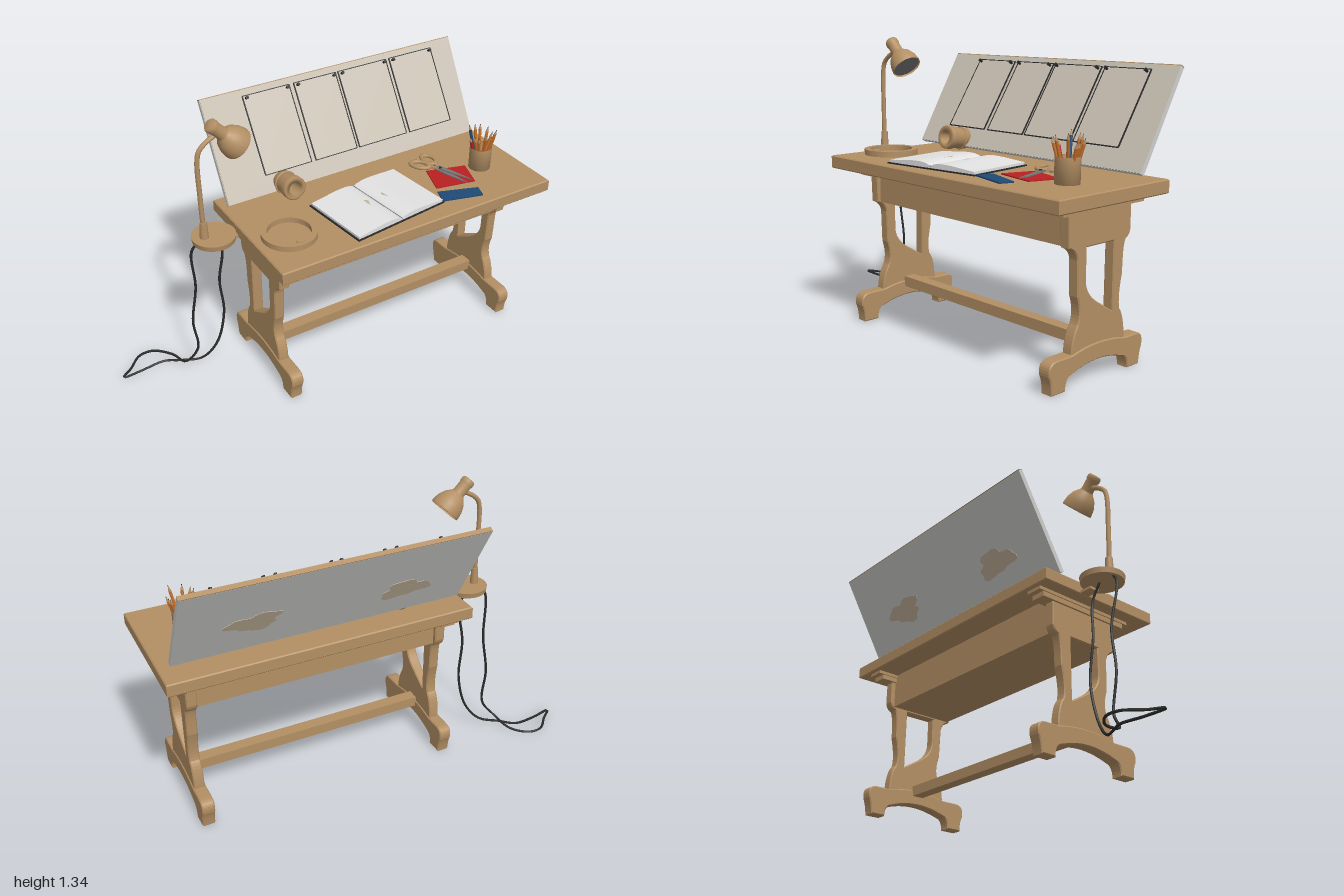
import * as THREE from 'three';

const mat = (name, color, side = THREE.FrontSide) => {
  const m = new THREE.MeshStandardMaterial({ color, side });
  m.name = name;
  return m;
};

export function createModel() {
  const root = new THREE.Group();
  root.name = 'draftingDesk';
  const wood = mat('wood', 0xb38f64, THREE.DoubleSide);
  const cream = mat('cream', 0xc9c0b3);
  const pale = mat('paleGrey', 0xcfcfcd);
  const page = mat('page', 0xe2e2e2);
  const dark = mat('dark', 0x2c2b2b);
  const grey = mat('grey', 0x777777);
  const red = mat('red', 0xb82022);
  const blue = mat('blue', 0x1f4a74);
  const orange = mat('orange', 0xc8702a);
  const stain = mat('stain', 0xc4b49c);

  const add = (name, geo, m, x = 0, y = 0, z = 0, parent = root) => {
    const mesh = new THREE.Mesh(geo, m);
    mesh.name = name;
    mesh.position.set(x, y, z);
    parent.add(mesh);
    return mesh;
  };
  const group = (name, x, y, z, parent = root) => {
    const g = new THREE.Group();
    g.name = name;
    g.position.set(x, y, z);
    parent.add(g);
    return g;
  };
  const box = (w, h, d) => new THREE.BoxGeometry(w, h, d);
  const cyl = (r1, r2, h, n = 24) => new THREE.CylinderGeometry(r1, r2, h, n);
  const v = (x, y, z) => new THREE.Vector3(x, y, z);
  const extrude = (shape, depth, bevel = 0) => new THREE.ExtrudeGeometry(shape, {
    depth: depth - 2 * bevel, bevelEnabled: bevel > 0, bevelSize: bevel, bevelOffset: -bevel,
    bevelThickness: bevel, bevelSegments: 1, curveSegments: 8,
  });
  const poly = pts => new THREE.Shape(pts.map(p => new THREE.Vector2(...p)));
  // Thin plate lying flat; points are (x, z)
  const flat = (pts, h) => extrude(poly(pts.map(([x, z]) => [x, -z])), h).rotateX(-Math.PI / 2);
  const blob = (rx, ry, seed, n = 32) => Array.from({ length: n }, (_, i) => {
    const a = i / n * Math.PI * 2;
    const k = 0.82 + 0.16 * Math.sin(3 * a + seed) + 0.08 * Math.sin(7 * a + seed * 2);
    return [rx * k * Math.cos(a), ry * k * Math.sin(a)];
  });

  // Table top, drawer box, stretcher
  const slab = poly([[-0.72, -0.33], [0.72, -0.33], [0.72, 0.33], [-0.72, 0.33]]);
  add('tableTop', extrude(slab, 0.06, 0.005).rotateX(-Math.PI / 2), wood, 0.28, 0.75, 0.07);
  add('apron', box(1.23, 0.17, 0.34), wood, 0.268, 0.66, 0.04);
  add('stretcher', box(1.18, 0.05, 0.06), wood, 0.268, 0.155, 0.04);

  // Trestle legs: profile runs along z, extruded along x
  const foot = new THREE.Shape();
  foot.moveTo(0.235, 0); foot.lineTo(0.315, 0);
  foot.quadraticCurveTo(0.315, 0.05, 0.33, 0.08);
  foot.quadraticCurveTo(0.34, 0.14, 0.28, 0.14);
  foot.lineTo(0.2, 0.14); foot.quadraticCurveTo(0.04, 0.18, -0.13, 0.14);
  foot.lineTo(-0.2, 0.14); foot.quadraticCurveTo(-0.255, 0.14, -0.243, 0.08);
  foot.quadraticCurveTo(-0.23, 0.05, -0.225, 0);
  foot.lineTo(-0.15, 0); foot.quadraticCurveTo(-0.15, 0.055, -0.11, 0.06);
  foot.quadraticCurveTo(0.04, 0.115, 0.2, 0.06);
  foot.quadraticCurveTo(0.235, 0.055, 0.235, 0);

  const upright = new THREE.Shape();
  upright.moveTo(0.2, 0.13);
  upright.quadraticCurveTo(0.2, 0.2, 0.165, 0.255);
  upright.quadraticCurveTo(0.145, 0.3, 0.17, 0.37);
  upright.lineTo(0.175, 0.52); upright.quadraticCurveTo(0.18, 0.56, 0.225, 0.575);
  upright.lineTo(0.23, 0.72); upright.lineTo(-0.15, 0.72);
  upright.lineTo(-0.15, 0.6); upright.quadraticCurveTo(-0.145, 0.57, -0.12, 0.56);
  upright.quadraticCurveTo(-0.105, 0.54, -0.105, 0.42);
  upright.quadraticCurveTo(-0.08, 0.32, -0.095, 0.27);
  upright.quadraticCurveTo(-0.125, 0.24, -0.13, 0.13);
  const hole = new THREE.Path();
  hole.moveTo(0.12, 0.565); hole.lineTo(0.12, 0.43);
  hole.quadraticCurveTo(0.115, 0.37, 0.05, 0.33);
  hole.quadraticCurveTo(0, 0.3, -0.045, 0.272);
  hole.lineTo(-0.045, 0.565); hole.lineTo(0.12, 0.565);
  upright.holes.push(hole);

  for (const x of [-0.34, 0.875]) {
    const leg = group('trestleLeg', x, 0, 0);
    for (const [name, shape, t] of [['foot', foot, 0.06], ['upright', upright, 0.05]]) {
      add(name, extrude(shape, t, 0.005).translate(0, 0, 0.005 - t / 2).rotateY(-Math.PI / 2), wood, 0, 0, 0, leg);
    }
    add('capBar', box(0.08, 0.02, 0.54), wood, 0, 0.74, 0.03, leg);
    add('capBarLower', box(0.07, 0.026, 0.49), wood, 0, 0.72, 0.03, leg);
  }

  // Tilted board with papers pinned to its front
  const board = group('tiltedBoard', 0.265, 0.835, -0.133);
  board.rotation.x = -Math.PI / 6;
  add('boardCore', box(1.37, 0.486, 0.021), pale, 0, 0.243, -0.0145, board);
  add('boardFace', box(1.366, 0.484, 0.004), cream, 0, 0.243, -0.002, board);
  add('boardTopEdge', box(1.37, 0.004, 0.022), wood, 0, 0.488, -0.0135, board);
  [[0.345, 0.2, 1], [-0.355, 0.18, 4]].forEach(([x, y, s]) =>
    add('backStain', extrude(poly(blob(0.14, 0.07, s)), 0.003), stain, x, y, -0.027, board));
  for (const [x0, x1] of [[-0.22, 0.02], [0.045, 0.27], [0.285, 0.555], [0.575, 0.82]]) {
    const w = x1 - x0, h = 0.37;
    const sheet = group('pinnedPaper', (x0 + x1) / 2 - 0.265, 0.456, 0.008, board);
    sheet.rotation.x = -0.06;
    add('paper', box(w, h, 0.003), cream, 0, -h / 2, 0, sheet);
    for (const s of [-1, 1]) {
      add('paperSideEdge', box(0.005, h, 0.005), dark, s * w / 2, -h / 2, 0, sheet);
      add('paperEndEdge', box(w, 0.004, 0.005), dark, 0, s < 0 ? -h : 0, 0, sheet);
      add('pin', cyl(0.008, 0.005, 0.022, 10).rotateX(Math.PI / 2), dark, s * (w / 2 - 0.015), -0.012, 0.009, sheet);
    }
  }

  // Desk lamp on a round shelf beside the table
  const lamp = group('lamp', 0, 0, -0.03);
  add('lampBase', cyl(0.1, 0.096, 0.025, 32), wood, -0.548, 0.776, 0, lamp);
  add('lampClamp', box(0.12, 0.012, 0.05), wood, -0.44, 0.755, 0, lamp);
  add('lampJoint', cyl(0.016, 0.02, 0.08, 16), wood, -0.592, 0.828, 0, lamp);
  const arm = new THREE.CatmullRomCurve3([v(-0.592, 0.79, 0), v(-0.596, 1, 0), v(-0.596, 1.17, 0),
    v(-0.585, 1.215, 0), v(-0.555, 1.245, 0), v(-0.5, 1.275, 0)]);
  add('lampArm', new THREE.TubeGeometry(arm, 30, 0.011, 10), wood, 0, 0, 0, lamp);
  const head = group('lampHead', -0.405, 1.2, 0, lamp);
  head.rotation.z = Math.PI / 4;
  const bell = [[0.071, 0], [0.073, 0.008], [0.068, 0.04], [0.055, 0.07], [0.035, 0.093], [0.029, 0.1],
    [0.029, 0.15], [0.032, 0.152], [0.032, 0.17], [0.026, 0.178], [0, 0.18]];
  add('lampShade', new THREE.LatheGeometry(bell.map(p => new THREE.Vector2(...p)), 32), wood, 0, 0, 0, head);
  add('shadeInside', new THREE.CircleGeometry(0.068, 32).rotateX(Math.PI / 2), grey, 0, 0.008, 0, head);

  // Power cord: one loop hanging from the lamp and lying on the floor
  const cord = new THREE.CatmullRomCurve3([
    v(-0.62, 0.77, -0.04), v(-0.65, 0.72, -0.05), v(-0.635, 0.5, -0.08), v(-0.66, 0.3, -0.09),
    v(-0.645, 0.12, -0.1), v(-0.7, 0.04, -0.13), v(-0.73, 0.015, -0.24), v(-0.8, 0.014, -0.31),
    v(-0.87, 0.014, -0.31), v(-0.94, 0.014, -0.245), v(-0.993, 0.018, -0.2), v(-0.9, 0.01, -0.21),
    v(-0.78, 0.012, -0.215), v(-0.71, 0.02, -0.17), v(-0.62, 0.035, -0.12), v(-0.55, 0.12, -0.09),
    v(-0.505, 0.3, -0.08), v(-0.52, 0.5, -0.07), v(-0.505, 0.68, -0.05), v(-0.54, 0.765, -0.04)]);
  add('powerCord', new THREE.TubeGeometry(cord, 160, 0.006, 6), dark);

  // Open book with curved pages
  const book = group('openBook', 0.18, 0.81, 0.165);
  book.rotation.y = 0.12;
  add('bookCover', box(0.505, 0.006, 0.352), dark, 0, 0.003, 0, book);
  for (const s of [-1, 1]) {
    const p = new THREE.Shape();
    p.moveTo(0, 0); p.lineTo(s * 0.245, 0); p.lineTo(s * 0.245, 0.011);
    p.bezierCurveTo(s * 0.15, 0.017, s * 0.04, 0.038, 0, 0.008);
    add('pages', extrude(p, 0.34).translate(0, 0, -0.17), page, 0, 0.006, 0, book);
    const spot = flat(blob(0.08, 0.07, s + 3), 0.002);
    const pos = spot.attributes.position;
    for (let i = 0; i < pos.count; i++) {
      const t = (0.12 + s * pos.getX(i)) / 0.245;
      pos.setY(i, pos.getY(i) + 0.027 - 0.016 * Math.max(0, t - 0.25));
    }
    add('pageStain', spot, stain, s * 0.12, 0, 0, book);
  }
  add('bookCrease', box(0.004, 0.006, 0.34), grey, 0, 0.013, 0, book);

  // Flat ring with a small catch
  const ring = new THREE.Shape().absarc(0, 0, 0.125, 0, Math.PI * 2);
  ring.holes.push(new THREE.Path().absarc(0, 0, 0.098, 0, Math.PI * 2));
  const ringGeo = new THREE.ExtrudeGeometry(ring, { depth: 0.026, bevelEnabled: false, curveSegments: 24 });
  add('ring', ringGeo.rotateX(-Math.PI / 2), wood, -0.28, 0.808, 0.17);
  add('ringCatch', cyl(0.018, 0.018, 0.028, 14), wood, -0.275, 0.822, 0.262);

  // Hollow roll lying on its side
  const profile = [[0.03, -0.06], [0.05, -0.06], [0.05, 0.025], [0.056, 0.028], [0.056, 0.056], [0.05, 0.06],
    [0.03, 0.06], [0.03, -0.06]].map(p => new THREE.Vector2(...p));
  const roll = add('hollowRoll', new THREE.LatheGeometry(profile, 28), wood, -0.13, 0.875, -0.1);
  roll.rotation.x = Math.PI / 2 - 0.14;
  add('rollBand', new THREE.TorusGeometry(0.051, 0.005, 8, 28).rotateX(Math.PI / 2), wood, 0, -0.03, 0, roll);

  // Pencil cup
  const pot = group('pencilCup', 0.795, 0.805, 0.128);
  add('cup', new THREE.LatheGeometry([[0, 0], [0.052, 0], [0.053, 0.11], [0.047, 0.11], [0.046, 0.012], [0, 0.012]]
    .map(p => new THREE.Vector2(...p)), 28), wood, 0, 0, 0, pot);
  for (let i = 0; i < 11; i++) {
    const a = i * 2.4, r = 0.014 + 0.004 * (i % 3), len = 0.14 + 0.012 * (i % 4);
    const m = i === 4 ? red : i === 7 ? blue : orange;
    const pencil = group('pencil', Math.cos(a) * r, 0.014, Math.sin(a) * r, pot);
    pencil.quaternion.setFromUnitVectors(v(0, 1, 0), v(Math.cos(a) * 0.3, 1, Math.sin(a) * 0.24).normalize());
    add('pencilBody', cyl(0.007, 0.007, len, 6), m, 0, len / 2, 0, pencil);
    add('pencilTip', cyl(0.002, 0.007, 0.02, 6), wood, 0, len + 0.01, 0, pencil);
    add('pencilLead', cyl(0.0005, 0.002, 0.006, 6), dark, 0, len + 0.023, 0, pencil);
  }

  // Red and blue cards
  add('redCard', flat([[0.54, 0.045], [0.73, 0.1], [0.685, 0.235], [0.49, 0.195]], 0.005), red, 0, 0.81, 0);
  add('blueCard', flat([[0.475, 0.225], [0.66, 0.29], [0.64, 0.352], [0.45, 0.3]], 0.006), blue, 0, 0.81, 0);

  // Scissors
  const scissors = group('scissors', 0.6, 0.82, 0.075);
  scissors.rotation.y = 0.3;
  for (const s of [-1, 1]) {
    const blade = flat([[-0.012, -0.02], [0.012, -0.02], [0.012, 0.06], [0.002, 0.17], [-0.01, 0.06]], 0.005);
    add('blade', blade, grey, s * 0.004, s * 0.003, 0, scissors).rotation.y = s * 0.06;
    const loop = add('handle', new THREE.TorusGeometry(0.028, 0.009, 8, 24).rotateX(Math.PI / 2), wood, s * 0.034, 0.002, -0.095, scissors);
    loop.scale.z = 1.6;
    loop.rotation.y = -s * 0.3;
    const shank = add('shank', box(0.014, 0.01, 0.055), wood, s * 0.012, 0.003, -0.032, scissors);
    shank.rotation.y = -s * 0.35;
  }
  add('pivot', cyl(0.007, 0.007, 0.016, 12), dark, 0, 0.004, 0, scissors);

  return root;
}
